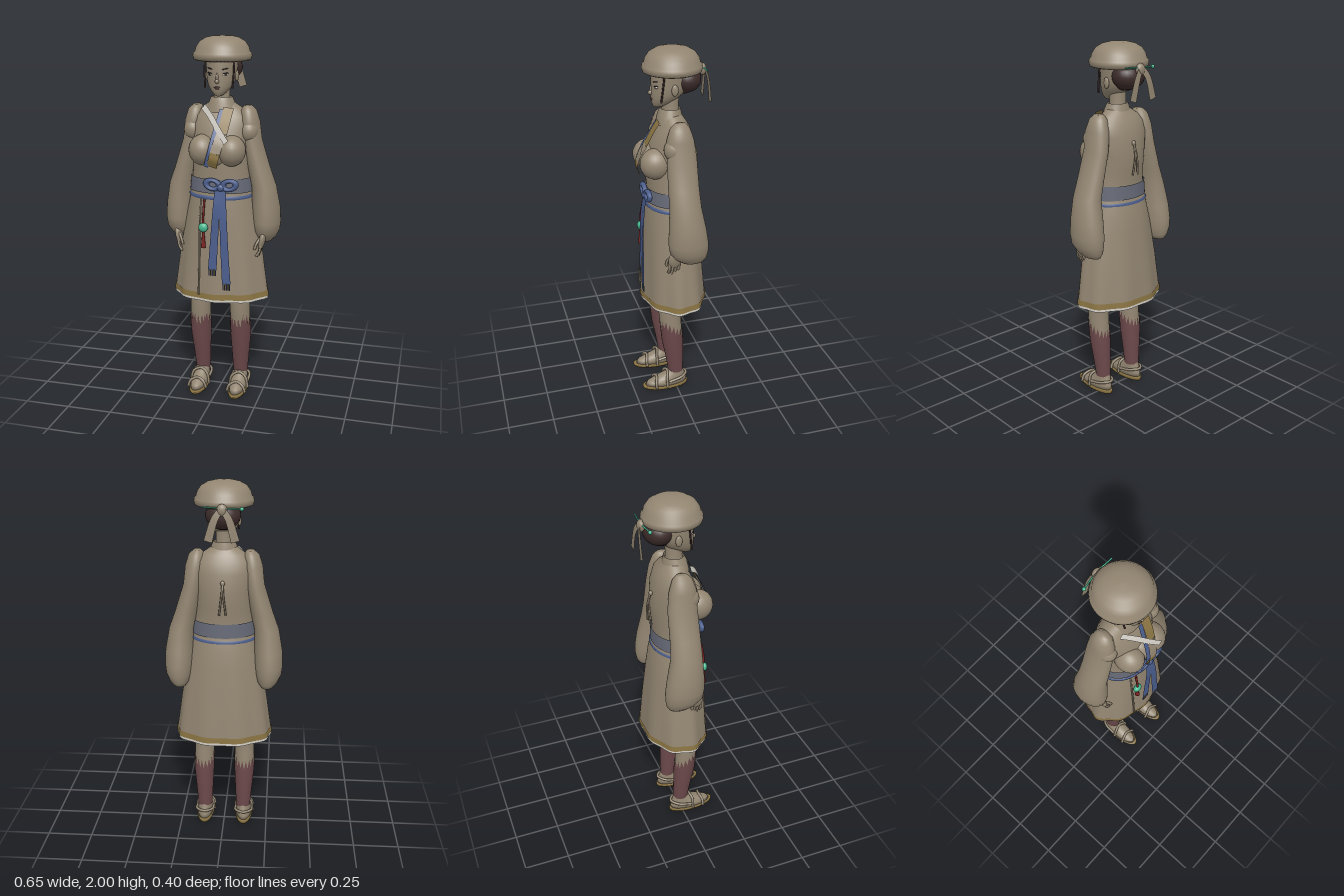
import * as THREE from 'three';

const mat = (name, color) => {
  const m = new THREE.MeshStandardMaterial({ color, side: THREE.DoubleSide });
  m.name = name;
  return m;
};

export function createModel() {
  const model = new THREE.Group();
  const cloth = mat('taupe', 0x938672), hair = mat('darkBrown', 0x3c2c2a), maroon = mat('maroon', 0x6b484a);
  const gold = mat('gold', 0x8a7443), blue = mat('blue', 0x4a5d8c), grey = mat('greyBlue', 0x666a77);
  const cream = mat('cream', 0xd0ccc4), jade = mat('jade', 0x45b890), red = mat('red', 0x7a2320), dark = mat('dark', 0x1e1a1a);

  const add = (name, geo, m, pos = [0, 0, 0], scale = [1, 1, 1], rot = [0, 0, 0]) => {
    const mesh = new THREE.Mesh(geo, m);
    mesh.name = name;
    mesh.position.set(...pos);
    mesh.scale.set(...scale);
    mesh.rotation.set(...rot);
    model.add(mesh);
    return mesh;
  };
  const ball = (name, m, pos, radii, rot) => add(name, new THREE.SphereGeometry(1, 24, 16), m, pos, radii, rot);
  const tube = (name, m, pts, r) => add(name, new THREE.TubeGeometry(
    new THREE.CatmullRomCurve3(pts.map(p => new THREE.Vector3(...p))), 20, r, 8), m);

  // Skin over horizontal ovals, listed from top to bottom: [y, halfWidth, zFront, zBack, centreX, ripple]
  const loft = (name, m, rows, { grow = 0, jag = false, capTop = false, capEnd = false, seg = 48 } = {}) => {
    const pos = [], idx = [];
    rows.forEach(([y, rx, zf, zb, cx = 0, ripple = 0], i) => {
      for (let k = 0; k < seg; k++) {
        const a = k / seg * Math.PI * 2, w = 1 + ripple * Math.cos(a * 9);
        const lift = jag && i === 0 ? (k % 2 ? 0.025 : -0.025) + 0.045 * Math.cos(a) : 0;
        pos.push(cx + (rx + grow) * w * Math.sin(a), y + lift, (zf + zb) / 2 + ((zf - zb) / 2 + grow) * w * Math.cos(a));
        if (i < rows.length - 1) {
          const p = i * seg + k, q = i * seg + (k + 1) % seg;
          idx.push(p, p + seg, q + seg, p, q + seg, q);
        }
      }
    });
    const cap = (i, flip) => {
      const [y, , zf, zb, cx = 0] = rows[i], c = pos.length / 3;
      pos.push(cx, y, (zf + zb) / 2);
      for (let k = 0; k < seg; k++) {
        const p = i * seg + k, q = i * seg + (k + 1) % seg;
        idx.push(c, flip ? q : p, flip ? p : q);
      }
    };
    if (capTop) cap(0, false);
    if (capEnd) cap(rows.length - 1, true);
    const g = new THREE.BufferGeometry();
    g.setAttribute('position', new THREE.Float32BufferAttribute(pos, 3));
    g.setIndex(idx);
    g.computeVertexNormals();
    return add(name, g, m);
  };

  // Flat band following a path, facing forward
  const strip = (name, m, pts, w0, w1 = w0) => {
    const curve = new THREE.CatmullRomCurve3(pts.map(p => new THREE.Vector3(...p)));
    const pos = [], idx = [], n = 16, front = new THREE.Vector3(0, 0, 1);
    for (let i = 0; i <= n; i++) {
      const c = curve.getPoint(i / n), side = curve.getTangent(i / n).cross(front).normalize();
      const h = (w0 + (w1 - w0) * i / n) / 2;
      for (const s of [1, -1]) pos.push(c.x + side.x * h * s, c.y + side.y * h * s, c.z);
      if (i < n) idx.push(2 * i, 2 * i + 2, 2 * i + 3, 2 * i, 2 * i + 3, 2 * i + 1);
    }
    const g = new THREE.BufferGeometry();
    g.setAttribute('position', new THREE.Float32BufferAttribute(pos, 3));
    g.setIndex(idx);
    g.computeVertexNormals();
    return add(name, g, m);
  };

  // Torso, bust and neck
  loft('torso', cloth, [[1.665, 0.05, 0.04, -0.05], [1.645, 0.075, 0.05, -0.06], [1.615, 0.12, 0.055, -0.08],
    [1.58, 0.155, 0.075, -0.1], [1.52, 0.17, 0.105, -0.12], [1.42, 0.158, 0.13, -0.13],
    [1.33, 0.155, 0.135, -0.125], [1.25, 0.16, 0.125, -0.115], [1.16, 0.169, 0.13, -0.12]], { capTop: true });
  ball('chestCloth', cloth, [0, 1.4, 0.09], [0.06, 0.09, 0.075]);
  loft('neck', cloth, [[1.76, 0.045, 0.045, -0.05], [1.68, 0.043, 0.042, -0.045], [1.63, 0.055, 0.045, -0.055]]);
  loft('standingCollar', cloth, [[1.68, 0.058, 0.05, -0.055], [1.65, 0.07, 0.065, -0.062], [1.6, 0.09, 0.075, -0.07]]);

  // Crossed lapels
  strip('lapelTop', gold, [[0.058, 1.63, 0.078], [0.048, 1.56, 0.117], [0.037, 1.5, 0.143]], 0.055);
  strip('lapelMiddle', cloth, [[0.037, 1.5, 0.143], [0.022, 1.45, 0.17], [0.01, 1.4, 0.184]], 0.055);
  strip('lapelBottom', gold, [[0.01, 1.4, 0.184], [0, 1.365, 0.185], [-0.012, 1.325, 0.165]], 0.055);
  strip('lapelEdge', blue, [[0.022, 1.62, 0.08], [0.008, 1.55, 0.118], [-0.006, 1.48, 0.153], [-0.022, 1.4, 0.178], [-0.045, 1.325, 0.165]], 0.026);
  strip('crossLapel', cream, [[-0.088, 1.63, 0.055], [-0.04, 1.59, 0.1], [0.01, 1.53, 0.14], [0.068, 1.46, 0.178]], 0.034, 0.03);

  // Skirt with trimmed hem
  const hemTop = [0.612, 0.262, 0.165, -0.185, 0, 0.022], hemLow = [0.58, 0.265, 0.166, -0.187, 0, 0.025];
  loft('skirt', cloth, [[1.17, 0.17, 0.132, -0.121], [1.1, 0.182, 0.14, -0.138], [1, 0.204, 0.145, -0.15, 0, 0.004],
    [0.8, 0.237, 0.155, -0.17, 0, 0.014], hemTop, hemLow], { seg: 90 });
  loft('hemTrim', gold, [hemTop, hemLow], { grow: 0.004, seg: 90 });
  loft('hemEdge', cream, [hemLow, [0.565, 0.266, 0.166, -0.188, 0, 0.025]], { grow: 0.001, seg: 90 });
  tube('skirtOverlap', cloth, [[-0.085, 1.15, 0.116], [-0.09, 1, 0.132], [-0.09, 0.8, 0.145], [-0.093, 0.6, 0.158]], 0.005);

  // Belt, cord, bow and hanging tails
  loft('belt', grey, [[1.252, 0.161, 0.127, -0.117], [1.175, 0.168, 0.132, -0.12]], { grow: 0.006 });
  loft('beltCord', blue, [[1.16, 0.171, 0.133, -0.122], [1.15, 0.18, 0.142, -0.131], [1.138, 0.173, 0.135, -0.126]]);
  for (const s of [1, -1]) {
    add('bowLoop', new THREE.TorusGeometry(0.03, 0.014, 10, 24), blue, [0.032 + s * 0.046, 1.226, 0.143], [1.2, 0.8, 1], [0, 0, s * 0.2]);
  }
  ball('bowKnot', blue, [0.032, 1.212, 0.15], [0.02, 0.02, 0.015]);
  const tails = [
    [[0.018, 1.2, 0.15], [0.012, 1.1, 0.163], [0, 0.92, 0.166], [-0.01, 0.755, 0.169]],
    [[0.042, 1.2, 0.15], [0.05, 1.05, 0.166], [0.06, 0.85, 0.172], [0.071, 0.68, 0.176]]];
  for (const t of tails) {
    strip('sashTail', blue, t, 0.036, 0.048);
    const [x, y, z] = t[3];
    for (let i = -2; i <= 2; i++) add('sashFringe', new THREE.BoxGeometry(0.005, 0.036, 0.004), i % 2 ? gold : blue, [x + i * 0.009, y - 0.016, z]);
  }

  // Waist charm
  tube('charmCord', red, [[-0.062, 1.14, 0.135], [-0.065, 1.05, 0.15], [-0.065, 0.99, 0.152]], 0.006);
  add('charmTassel', new THREE.CylinderGeometry(0.005, 0.013, 0.1, 10), red, [-0.064, 0.925, 0.153]);
  ball('charmBead', jade, [-0.065, 0.987, 0.152], [0.026, 0.026, 0.018]);

  // Small cords on the back
  for (const s of [1, -1]) tube('backCord', cloth, [[0, 1.48, -0.132], [s * 0.006, 1.41, -0.148], [s * 0.018, 1.31, -0.143]], 0.005);
  ball('backCordKnot', cloth, [0, 1.48, -0.13], [0.012, 0.014, 0.01]);

  // Head and face
  loft('head', cloth, [[1.9, 0.085, 0.095, -0.11], [1.85, 0.083, 0.1, -0.11], [1.8, 0.08, 0.1, -0.1], [1.77, 0.075, 0.101, -0.085],
    [1.74, 0.064, 0.1, -0.05], [1.715, 0.046, 0.098, -0.01], [1.695, 0.024, 0.09, 0.03], [1.688, 0.01, 0.08, 0.05]], { capEnd: true });
  ball('nose', cloth, [0, 1.768, 0.103], [0.011, 0.013, 0.014]);
  ball('noseBridge', cloth, [0, 1.788, 0.099], [0.007, 0.026, 0.009], [-0.15, 0, 0]);
  ball('upperLip', maroon, [0, 1.737, 0.1], [0.018, 0.004, 0.005]);
  ball('lowerLip', maroon, [0, 1.73, 0.099], [0.014, 0.004, 0.005]);

  // Hat with rolled brim
  const hatProfile = [[0, 2], [0.05, 1.997], [0.09, 1.988], [0.125, 1.968], [0.145, 1.94], [0.152, 1.915], [0.16, 1.908],
    [0.163, 1.893], [0.158, 1.876], [0.146, 1.87], [0.08, 1.873]].reverse().map(p => new THREE.Vector2(...p));
  add('hat', new THREE.LatheGeometry(hatProfile, 48), cloth, [0, 0, -0.012], [0.97, 1, 0.97]);

  // Gathered hair, hairpin and ribbon at the back of the head
  ball('hairBack', hair, [0, 1.828, -0.085], [0.092, 0.072, 0.08]);
  ball('hairNape', hair, [0, 1.785, -0.07], [0.06, 0.035, 0.045]);
  loft('hairline', hair, [[1.9, 0.087, 0.098, -0.11], [1.864, 0.085, 0.1, -0.11]], { grow: 0.003 });
  tube('hairpin', jade, [[-0.1, 1.875, -0.162], [0, 1.88, -0.175], [0.1, 1.885, -0.17]], 0.004);
  ball('hairpinBead', jade, [-0.1, 1.875, -0.162], [0.01, 0.01, 0.01]);
  ball('ribbonKnot', cloth, [0, 1.87, -0.175], [0.028, 0.032, 0.02]);

  // Mirrored parts
  for (const s of [1, -1]) {
    const side = (name, m, rows, opt) => loft(name, m, rows.map(([y, x, rx, zf, zb]) => [y, rx, zf, zb, s * x]), opt);
    const path = pts => pts.map(([x, y, z]) => [s * x, y, z]);

    strip('hatRibbon', cloth, path([[0.005, 1.875, -0.186], [0.035, 1.83, -0.195], [0.07, 1.715, -0.198]]), 0.03, 0.045);
    ball('eyeWhite', cream, [s * 0.041, 1.803, 0.085], [0.015, 0.006, 0.005], [0, s * 0.45, s * 0.1]);
    ball('iris', dark, [s * 0.041, 1.803, 0.088], [0.006, 0.006, 0.004]);
    ball('upperLid', dark, [s * 0.042, 1.809, 0.086], [0.017, 0.003, 0.005], [0, s * 0.45, s * 0.1]);
    ball('eyebrow', dark, [s * 0.041, 1.832, 0.087], [0.019, 0.003, 0.004], [0, s * 0.45, s * 0.2]);
    ball('ear', cloth, [s * 0.081, 1.79, -0.005], [0.01, 0.03, 0.018]);
    tube('sideLock', hair, path([[0.08, 1.87, 0.05], [0.079, 1.8, 0.058], [0.074, 1.73, 0.066]]), 0.005);
    ball('bust', cloth, [s * 0.08, 1.405, 0.1], [0.075, 0.083, 0.084]);

    // Full sleeve, gathered at the wrist
    side('sleeve', cloth, [[1.635, 0.14, 0.02, 0.015, -0.045], [1.61, 0.145, 0.043, 0.04, -0.065], [1.55, 0.153, 0.054, 0.06, -0.085],
      [1.45, 0.166, 0.052, 0.062, -0.098], [1.3, 0.204, 0.06, 0.065, -0.1], [1.2, 0.233, 0.067, 0.066, -0.105],
      [1.08, 0.244, 0.077, 0.073, -0.13], [1, 0.247, 0.078, 0.075, -0.142], [0.95, 0.247, 0.072, 0.068, -0.142],
      [0.91, 0.243, 0.056, 0.035, -0.135], [0.885, 0.24, 0.035, 0, -0.12]], { capTop: true, capEnd: true });
    ball('shoulderPuff', cloth, [s * 0.155, 1.5, 0.02], [0.05, 0.06, 0.055]);

    // Hand
    ball('palm', cloth, [s * 0.238, 0.905, 0.04], [0.018, 0.055, 0.036], [0, 0, -s * 0.2]);
    for (let i = 0; i < 4; i++) {
      const z = 0.014 + i * 0.017, tip = 0.808 + Math.abs(i - 1.6) * 0.009;
      tube('finger', cloth, path([[0.236, 0.89, z], [0.23, 0.85, z + 0.002], [0.213, tip, z + 0.003]]), 0.0075);
    }
    tube('thumb', cloth, path([[0.23, 0.92, 0.06], [0.213, 0.89, 0.075], [0.204, 0.86, 0.078]]), 0.008);

    // Leg and jagged stocking
    side('leg', cloth, [[0.95, 0.1, 0.085, 0.1, -0.09], [0.55, 0.113, 0.057, 0.1, -0.025], [0.45, 0.116, 0.056, 0.092, -0.032],
      [0.32, 0.117, 0.053, 0.076, -0.04], [0.2, 0.114, 0.044, 0.053, -0.042], [0.09, 0.112, 0.036, 0.036, -0.042]]);
    side('stocking', maroon, [[0.415, 0.117, 0.056, 0.088, -0.035], [0.32, 0.117, 0.053, 0.076, -0.04],
      [0.2, 0.114, 0.044, 0.053, -0.042], [0.1, 0.112, 0.037, 0.037, -0.042]], { grow: 0.004, jag: true, seg: 36 });

    // Foot and sandal
    side('foot', cloth, [[0.12, 0.112, 0.036, 0.038, -0.043], [0.09, 0.113, 0.038, 0.06, -0.05], [0.065, 0.114, 0.043, 0.12, -0.06],
      [0.045, 0.115, 0.047, 0.168, -0.066], [0.022, 0.115, 0.047, 0.183, -0.066]], { capEnd: true });
    side('sandalSole', gold, [[0.024, 0.115, 0.051, 0.198, -0.074], [0.012, 0.115, 0.052, 0.198, -0.075],
      [0, 0.115, 0.046, 0.185, -0.07]], { capTop: true, capEnd: true });
    for (const [z, h] of [[0.125, 0.075], [0.06, 0.105]]) {
      tube('sandalStrap', cloth, path([[0.062, 0.02, z], [0.075, h - 0.02, z], [0.115, h, z - 0.01], [0.155, h - 0.02, z], [0.168, 0.02, z]]), 0.008);
    }
    tube('heelStrap', cloth, path([[0.066, 0.05, 0.05], [0.07, 0.07, -0.03], [0.114, 0.075, -0.066], [0.158, 0.07, -0.03], [0.164, 0.05, 0.05]]), 0.008);
  }
  return model;
}
